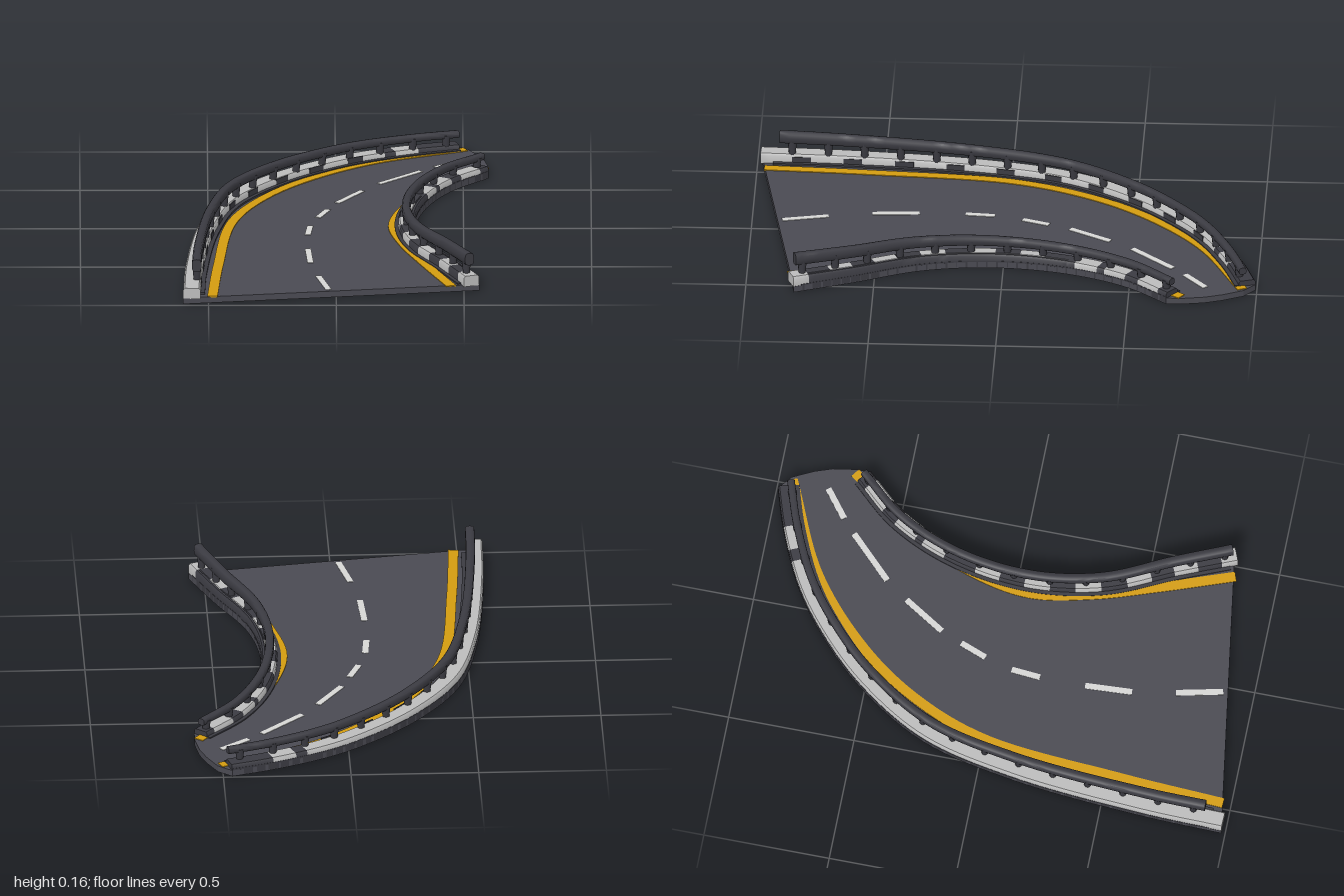
import * as THREE from 'three';
import { toCreasedNormals } from 'three/addons/utils/BufferGeometryUtils.js';

const paint = (name, color) => Object.assign(new THREE.MeshStandardMaterial({ color }), { name });
const lerp = THREE.MathUtils.lerp;

// plan curve from [x, z] points, running from the front end to the back end
const plan = (pts) => new THREE.CatmullRomCurve3(pts.map(([x, z]) => new THREE.Vector3(x, 0, z)));

// point on a plan curve, moved sideways; side 1 moves to the right of travel, -1 to the left
function place(curve, u, side, offset, y) {
  const p = curve.getPointAt(u), t = curve.getTangentAt(u);
  return new THREE.Vector3(p.x - t.z * side * offset, y, p.z + t.x * side * offset);
}

// sweeps a closed [offset, y] profile along part of a curve and caps both ends
function sweep(curve, side, profile, u0, u1) {
  const steps = Math.max(2, Math.ceil((u1 - u0) * 64));
  const n = profile(0).length, pos = [], idx = [];
  const face = (a, b, c) => (side > 0 ? idx.push(a, b, c) : idx.push(a, c, b));
  for (let i = 0; i <= steps; i++) {
    const u = lerp(u0, u1, i / steps);
    for (const [o, y] of profile(u)) pos.push(...place(curve, u, side, o, y).toArray());
  }
  for (let i = 0; i < steps; i++) {
    for (let j = 0; j < n; j++) {
      const a = i * n + j, b = i * n + (j + 1) % n;
      face(a, a + n, b);
      face(b, a + n, b + n);
    }
  }
  const e = steps * n;
  for (let j = 1; j < n - 1; j++) {
    face(0, j, j + 1);
    face(e, e + j + 1, e + j);
  }
  const g = new THREE.BufferGeometry();
  g.setAttribute('position', new THREE.Float32BufferAttribute(pos, 3));
  g.setIndex(idx);
  return toCreasedNormals(g, 0.9);
}

const box = (o0, o1, y0, y1) => () => [[o0, y0], [o1, y0], [o1, y1], [o0, y1]];

export function createModel() {
  const model = new THREE.Group();
  model.name = 'curvedRoad';
  const asphalt = paint('asphalt', 0x4a4a52);
  const darkSteel = paint('darkSteel', 0x3b3b42);
  const concrete = paint('lightConcrete', 0xbcbcbc);
  const yellow = paint('yellowPaint', 0xd39c10);
  const white = paint('whitePaint', 0xd6d6d4);
  const add = (name, geometry, material, parent = model) => {
    const m = new THREE.Mesh(geometry, material);
    m.name = name;
    parent.add(m);
    return m;
  };

  const outer = plan([[-0.6, 0.985], [-0.59, 0.66], [-0.54, 0.13], [-0.45, -0.24], [-0.27, -0.53],
    [-0.07, -0.73], [0.085, -0.84], [0.3, -0.94], [0.465, -0.995]]);
  const inner = plan([[0.56, 0.81], [0.465, 0.58], [0.35, 0.32], [0.31, 0.05], [0.35, -0.24],
    [0.455, -0.48], [0.6, -0.65]]);
  const outerLine = plan([[-0.485, 0.97], [-0.46, 0.55], [-0.405, 0], [-0.295, -0.29],
    [-0.13, -0.53], [0.14, -0.77], [0.51, -0.945]]);
  const innerLine = plan([[0.45, 0.835], [0.35, 0.555], [0.265, 0.29], [0.225, 0.05],
    [0.27, -0.185], [0.375, -0.42], [0.585, -0.71]]);

  // road slab, with a slightly bowed back end
  const roadTop = 0.025;
  const edge = [
    ...outer.getSpacedPoints(50).map((p) => [p.x, p.z]),
    [0.52, -0.95], [0.56, -0.87], [0.585, -0.8], [0.6, -0.71],
    ...inner.getSpacedPoints(40).reverse().map((p) => [p.x, p.z]),
  ];
  const shape = new THREE.Shape(edge.map(([x, z]) => new THREE.Vector2(x, -z)));
  const slab = new THREE.ExtrudeGeometry(shape, { depth: roadTop, bevelEnabled: false });
  slab.rotateX(-Math.PI / 2);
  add('roadSlab', slab, asphalt);

  // yellow edge lines
  const stripe = box(-0.02, 0.02, roadTop - 0.002, roadTop + 0.003);
  add('outerEdgeLine', sweep(outerLine, 1, stripe, 0, 1), yellow);
  add('innerEdgeLine', sweep(innerLine, 1, stripe, 0, 1), yellow);

  // white centre dashes, showing on the underside too
  const dashes = [[-0.03, 0.88, -0.07, 0.7], [-0.1, 0.53, -0.11, 0.345], [-0.11, 0.165, -0.1, 0.05],
    [-0.07, -0.06, -0.03, -0.165], [0.005, -0.25, 0.105, -0.41], [0.17, -0.5, 0.335, -0.665],
    [0.39, -0.715, 0.5, -0.8]];
  for (const [x0, z0, x1, z1] of dashes) {
    const length = Math.hypot(x1 - x0, z1 - z0);
    for (const y of [roadTop, 0.001]) {
      const dash = add('centreDash', new THREE.BoxGeometry(0.024, 0.004, length), white);
      dash.position.set((x0 + x1) / 2, y, (z0 + z1) / 2);
      dash.rotation.y = Math.atan2(x1 - x0, z1 - z0);
    }
  }

  // kerb top falls gently towards the back
  const kerbTop = (u) => lerp(0.065, 0.048, u);
  const kerb = (o0, o1, y0 = 0.022, lift = 0) => (u) => {
    const h = kerbTop(u) + lift;
    return [[o0, y0], [o1, y0], [o1, h - 0.008], [o1 - 0.006, h], [o0 + 0.006, h], [o0, h - 0.008]];
  };

  // outer kerb: light for most of its length, dark with one light patch at the back
  const outerKerb = new THREE.Group();
  outerKerb.name = 'outerKerb';
  model.add(outerKerb);
  add('kerbFoot', sweep(outer, 1, box(0, 0.085, 0.003, 0.032), 0.02, 1), darkSteel, outerKerb);
  [[0, 0.87, 1], [0.87, 0.89, 0], [0.89, 0.93, 1], [0.93, 1, 0]].forEach(([a, b, light]) =>
    add('kerbBlock', sweep(outer, 1, kerb(0.001, 0.068), a, b), light ? concrete : darkSteel, outerKerb));
  for (let i = 0; i < 10; i++) {
    const a = 0.05 + i * 0.083;
    add('kerbDarkPatch', sweep(outer, 1, box(0.066, 0.07, 0.03, 0.054), a, a + 0.03), darkSteel, outerKerb);
  }

  // inner kerb: dark outside, light end block and patches
  const innerKerb = new THREE.Group();
  innerKerb.name = 'innerKerb';
  model.add(innerKerb);
  add('kerbFoot', sweep(inner, -1, box(0, 0.08, 0.003, 0.03), 0.02, 1), darkSteel, innerKerb);
  add('kerbShell', sweep(inner, -1, kerb(0.001, 0.022), 0.04, 0.7), darkSteel, innerKerb);
  for (let i = 0; i < 11; i++) {
    const a = 0.04 + i * 0.06;
    add('kerbBlock', sweep(inner, -1, kerb(0.015, 0.065), a, a + 0.06), i % 2 ? concrete : darkSteel, innerKerb);
  }
  [[0, 0.04, 1], [0.7, 0.72, 0], [0.72, 0.78, 1], [0.78, 0.8, 0], [0.8, 0.86, 1], [0.86, 0.9, 0],
    [0.9, 0.97, 1], [0.97, 1, 0]].forEach(([a, b, light]) =>
    add('kerbBlock', sweep(inner, -1, kerb(0.001, 0.065), a, b), light ? concrete : darkSteel, innerKerb));

  // guard rails: rounded beams on flared posts, getting lower and thinner towards the back
  function guardRail(name, curve, side, offset, u0, u1, posts, frontY, backY) {
    const rail = new THREE.Group();
    rail.name = name;
    model.add(rail);
    const midY = (u) => lerp(frontY, backY, 1 - (1 - u) ** 1.3);
    const beam = (u) => {
      const w = lerp(0.019, 0.015, u), h = lerp(0.025, 0.014, u);
      return Array.from({ length: 12 }, (_, i) => {
        const a = (i / 12) * Math.PI * 2, c = Math.cos(a), s = Math.sin(a);
        return [offset + w * Math.sign(c) * Math.abs(c) ** 0.6, midY(u) + h * Math.sign(s) * Math.abs(s) ** 0.6];
      });
    };
    add('beam', sweep(curve, side, beam, u0, u1), darkSteel, rail);
    for (let i = 0; i < posts; i++) {
      const u = lerp(u0 + 0.02, u1 - 0.02, i / (posts - 1));
      const low = kerbTop(u) - 0.01, high = midY(u);
      const post = add('post', new THREE.CylinderGeometry(0.019, 0.013, high - low, 10), darkSteel, rail);
      post.position.copy(place(curve, u, side, offset, (low + high) / 2));
    }
  }
  guardRail('outerGuardRail', outer, 1, 0.052, 0.03, 1, 17, 0.136, 0.09);
  guardRail('innerGuardRail', inner, -1, 0.035, 0.01, 1, 12, 0.128, 0.084);

  return model;
}
